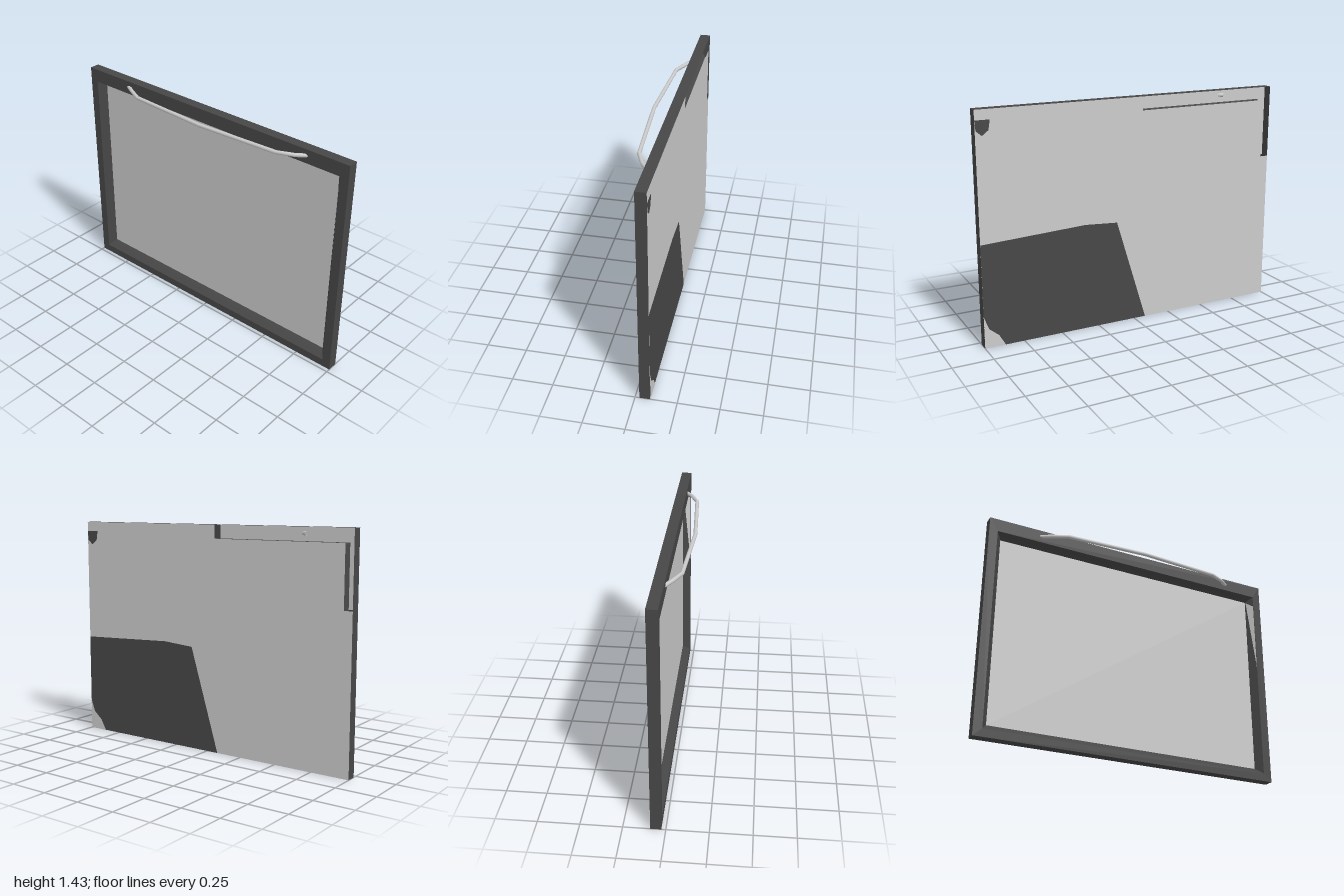
import * as THREE from 'three';

const grey = new THREE.MeshStandardMaterial({ color: 0xcccccc, side: THREE.DoubleSide });
const dark = new THREE.MeshStandardMaterial({ color: 0x474747, side: THREE.DoubleSide });

const BACK = -0.09, FRONT = -0.026, PANEL = -0.076, H = 1.43;

function mesh(name, geometry, material) {
  const m = new THREE.Mesh(geometry, material);
  m.name = name;
  return m;
}

// Flat sheet facing backwards, outlined by x, y points
function sheet(name, points, z, material) {
  const shape = new THREE.Shape(points.map(([x, y]) => new THREE.Vector2(-x, y)));
  const g = new THREE.ShapeGeometry(shape).rotateY(Math.PI);
  g.translate(0, 0, z);
  return mesh(name, g, material);
}

// Rectangular rings joined by flat quads: outer edge, front face, inner bevel
function frameGeometry() {
  const rings = [
    [1, 0, H, BACK],
    [1, 0, H, FRONT],
    [0.945, 0.05, 1.345, FRONT],
    [0.925, 0.075, 1.33, -0.055],
    [0.91, 0.09, 1.315, PANEL],
  ].map(([x, y0, y1, z]) => [[-x, y0, z], [x, y0, z], [x, y1, z], [-x, y1, z]]);
  const pos = [];
  for (let r = 0; r < rings.length - 1; r++) {
    for (let i = 0; i < 4; i++) {
      const j = (i + 1) % 4;
      const a = rings[r][i], b = rings[r][j], c = rings[r + 1][j], d = rings[r + 1][i];
      pos.push(...a, ...b, ...c, ...a, ...c, ...d);
    }
  }
  const g = new THREE.BufferGeometry();
  g.setAttribute('position', new THREE.Float32BufferAttribute(pos, 3));
  g.computeVertexNormals();
  return g;
}

// Straight segments with sharp bends
class Polyline extends THREE.Curve {
  constructor(points) {
    super();
    this.points = points;
  }
  getPoint(t, target = new THREE.Vector3()) {
    const f = t * (this.points.length - 1);
    const i = Math.min(Math.floor(f), this.points.length - 2);
    return target.lerpVectors(this.points[i], this.points[i + 1], f - i);
  }
  getPointAt(t, target) { return this.getPoint(t, target); }
  getTangentAt(t, target) { return this.getTangent(t, target); }
}

export function createModel() {
  const model = new THREE.Group();
  model.name = 'framedPanel';

  model.add(mesh('frame', frameGeometry(), dark));

  // Recessed front panel
  const panel = mesh('panel', new THREE.PlaneGeometry(1.82, 1.225), grey);
  panel.position.set(0, 0.7025, PANEL);
  model.add(panel);

  // Backing with an open channel along one upper corner
  model.add(sheet('backing', [
    [1, 0], [1, H], [-0.06, H], [-0.06, 1.345], [-0.945, 1.345],
    [-0.945, 0.97], [-1, 0.97], [-1, 0],
  ], BACK, grey));
  model.add(sheet('channelLining', [
    [-0.06, H], [-0.06, 1.345], [-0.945, 1.345], [-0.945, 0.97], [-1, 0.97], [-1, H],
  ], -0.032, grey));

  // Dark area and corner pieces on the back
  const skin = BACK - 0.001;
  model.add(sheet('backPatch', [
    [1, 0], [1, 0.645], [0.335, 0.675], [0.12, 0.66], [-0.08, 0],
  ], skin, dark));
  model.add(sheet('upperCornerPatch', [
    [1, 1.37], [0.91, 1.37], [0.92, 1.31], [0.96, 1.28], [0.995, 1.31],
  ], skin, dark));
  model.add(sheet('lowerCornerPatch', [
    [1, 0], [1, 0.2], [0.97, 0.12], [0.91, 0.07], [0.87, 0],
  ], skin - 0.001, grey));

  // Pale sliver on the inner bevel
  const sliver = new THREE.BufferGeometry().setFromPoints([
    new THREE.Vector3(0.912, 1.31, -0.07),
    new THREE.Vector3(0.943, 0.8, -0.025),
    new THREE.Vector3(0.943, 1.27, -0.025),
  ]);
  sliver.computeVertexNormals();
  model.add(mesh('bevelSliver', sliver, grey));

  // Bowed handle across the top rail
  const path = [
    [-0.67, -0.04], [-0.6, 0.0], [-0.5, 0.048], [0.035, 0.078],
    [0.57, 0.048], [0.67, 0.005], [0.73, -0.04],
  ].map(([x, z]) => new THREE.Vector3(x, 1.39, z));
  model.add(mesh('handle', new THREE.TubeGeometry(new Polyline(path), path.length - 1, 0.012, 8), grey));

  return model;
}
